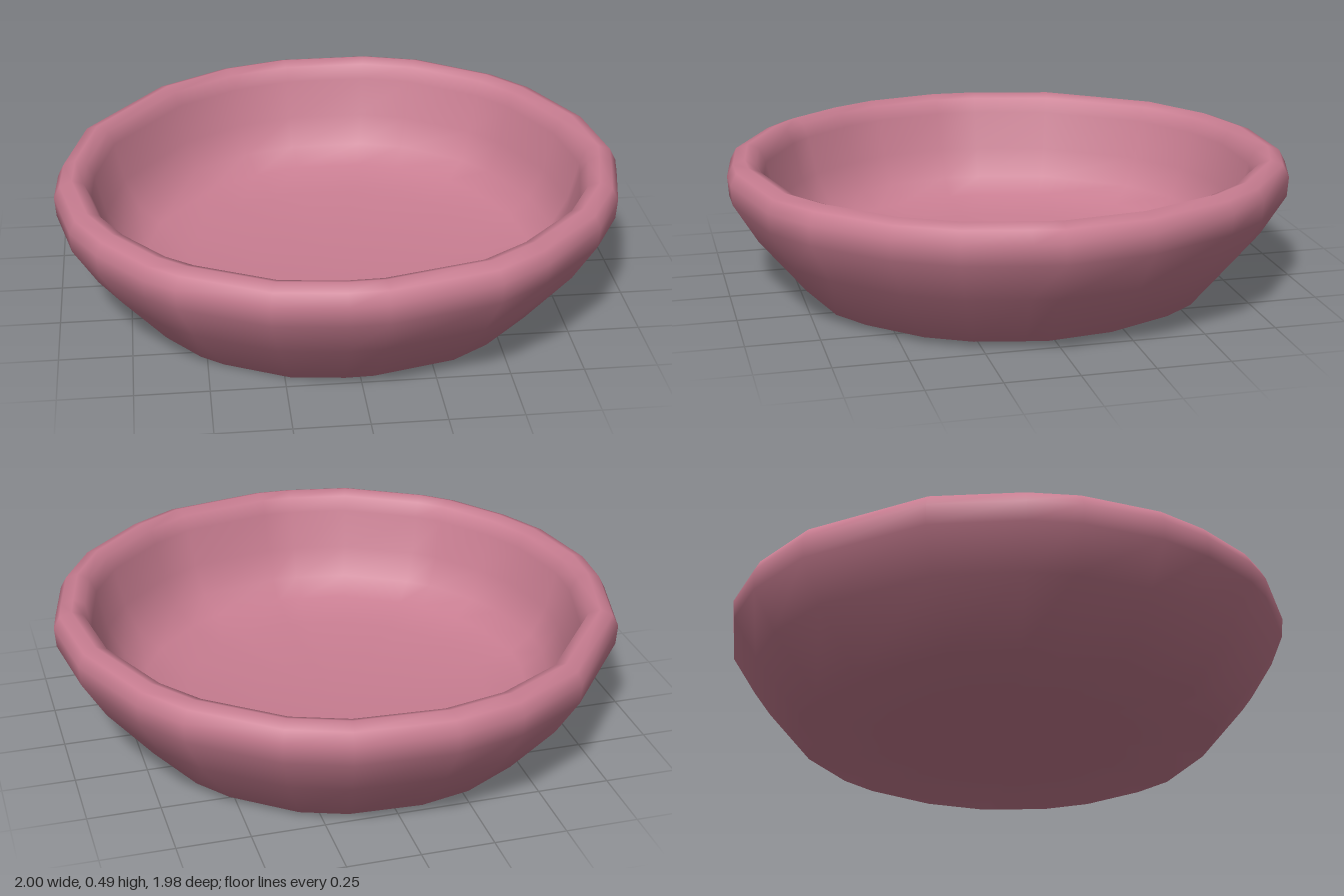
import * as THREE from 'three';
import { mergeVertices } from 'three/addons/utils/BufferGeometryUtils.js';

// Uneven hand-shaped outline of the rim, as [x, z] corners going round once
const OUTLINE = [
  [-0.12, -0.99], [0.22, -0.98], [0.43, -0.91], [0.7, -0.71], [0.82, -0.56], [0.96, -0.25],
  [1, 0.05], [0.98, 0.15], [0.93, 0.37], [0.82, 0.57], [0.6, 0.79], [0.43, 0.9],
  [0.06, 0.985], [-0.07, 0.985], [-0.31, 0.95], [-0.6, 0.8], [-0.7, 0.72], [-0.85, 0.53],
  [-0.94, 0.36], [-1, 0.08], [-0.99, -0.1], [-0.91, -0.41], [-0.62, -0.78], [-0.36, -0.93],
];

// Section from the middle of the base, up the outside, over the lip, to the inner floor
const PROFILE = [
  [0, 0.02], [0.4, 0.02], [0.745, 0.022], [0.91, 0.22], [0.995, 0.36], [1, 0.43],
  [0.978, 0.472], [0.935, 0.488], [0.895, 0.472], [0.87, 0.42], [0.835, 0.28],
  [0.78, 0.175], [0.7, 0.117], [0.55, 0.08], [0.3, 0.058], [0, 0.05],
];

function bowlGeometry() {
  const n = OUTLINE.length;
  const positions = [];
  const index = [];
  PROFILE.forEach(([r, h]) => {
    OUTLINE.forEach(([x, z]) => {
      // The whole bowl leans slightly, higher on its left
      positions.push(x * r, h + 0.016 * x * r, z * r);
    });
  });
  // Join neighbouring rings, with single triangles at the two centres
  const last = PROFILE.length - 2;
  for (let j = 0; j <= last; j++) {
    for (let i = 0; i < n; i++) {
      const k = (i + 1) % n;
      const a = j * n + i, b = j * n + k, c = a + n, d = b + n;
      if (j === 0) index.push(a, c, d);
      else if (j === last) index.push(a, c, b);
      else index.push(a, c, b, b, c, d);
    }
  }
  const geometry = new THREE.BufferGeometry();
  geometry.setAttribute('position', new THREE.Float32BufferAttribute(positions, 3));
  geometry.setIndex(index);
  const merged = mergeVertices(geometry);
  merged.computeVertexNormals();
  return merged;
}

export function createModel() {
  const group = new THREE.Group();
  group.name = 'bowl';

  const pink = new THREE.MeshStandardMaterial({ color: 0xc87d91 });
  pink.name = 'dustyPink';

  // Shallow dish with a rounded lip
  const dish = new THREE.Mesh(bowlGeometry(), pink);
  dish.name = 'dish';
  group.add(dish);
  return group;
}
